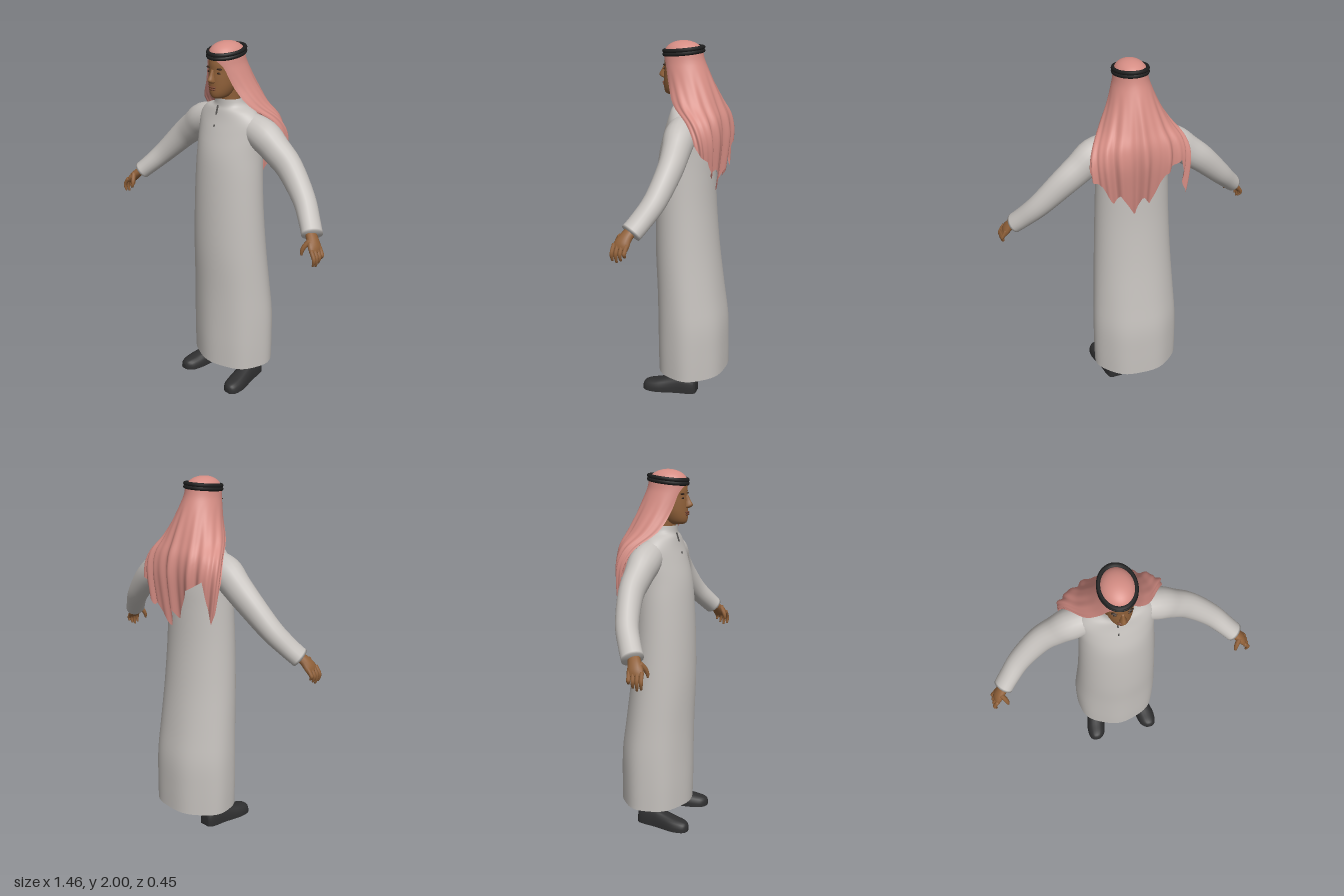
import * as THREE from 'three';

const mat = (name, color, side = THREE.FrontSide) => {
  const m = new THREE.MeshStandardMaterial({ color, side });
  m.name = name;
  return m;
};

// Catmull-Rom resampling of numeric rows, k steps per span
function smooth(rows, k = 4) {
  const out = [], n = rows.length - 1;
  for (let i = 0; i < n; i++) {
    const [p, a, b, q] = [rows[Math.max(i - 1, 0)], rows[i], rows[i + 1], rows[Math.min(i + 2, n)]];
    for (let s = 0; s < k; s++) {
      const t = s / k;
      out.push(a.map((v, c) => {
        const cubic = 3 * (v - b[c]) + q[c] - p[c];
        const square = 2 * p[c] - 5 * v + 4 * b[c] - q[c];
        return v + 0.5 * t * (b[c] - p[c] + t * (square + t * cubic));
      }));
    }
  }
  out.push(rows[n]);
  return out;
}

// Surface through rows of points; closed rings share their seam, caps close the ends
function skin(rows, closed = true, capped = closed) {
  const n = rows[0].length, pos = rows.flat(2), idx = [];
  for (let i = 0; i < rows.length - 1; i++) {
    for (let j = 0; j < (closed ? n : n - 1); j++) {
      const k = (j + 1) % n, a = i * n + j, b = i * n + k, c = a + n, d = b + n;
      idx.push(a, c, b, b, c, d);
    }
  }
  if (capped) [0, rows.length - 1].forEach((r, end) => {
    const mid = pos.length / 3, loop = rows[r];
    pos.push(...[0, 1, 2].map(c => loop.reduce((s, p) => s + p[c], 0) / n));
    for (let j = 0; j < n; j++) {
      const a = r * n + j, b = r * n + (j + 1) % n;
      idx.push(mid, ...(end ? [b, a] : [a, b]));
    }
  });
  const g = new THREE.BufferGeometry();
  g.setAttribute('position', new THREE.Float32BufferAttribute(pos, 3));
  g.setIndex(idx);
  g.computeVertexNormals();
  return g;
}

const ring = (n, fn) => Array.from({ length: n }, (_, j) => fn(j / n * Math.PI * 2));

// Upright body from rows of [y, half width, front z, back z]
const upright = (rows, n, capped, ripple = () => 1) => skin(smooth(rows).map(([y, w, f, b]) =>
  ring(n, t => {
    const r = ripple(t, y);
    return [w * Math.cos(t) * r, y, (f + b) / 2 + (f - b) / 2 * Math.sin(t) * r];
  })), true, capped);

// Limb from rows of [x, y, z, thickness radius, depth radius]
function limb(rows, n = 10, k = 4) {
  const pts = smooth(rows, k);
  return skin(pts.map(([x, y, z, rn, rb], i) => {
    const p = pts[Math.max(i - 1, 0)], q = pts[Math.min(i + 1, pts.length - 1)];
    const T = new THREE.Vector3(q[0] - p[0], q[1] - p[1], q[2] - p[2]).normalize();
    const N = T.clone().cross(new THREE.Vector3(0, 0, 1)).normalize();
    const B = N.clone().cross(T);
    return ring(n, t => new THREE.Vector3(x, y, z).addScaledVector(N, rn * Math.cos(t)).addScaledVector(B, rb * Math.sin(t)).toArray());
  }));
}

function mirror(geo) {
  const g = geo.clone().scale(-1, 1, 1), a = g.index.array;
  for (let i = 0; i < a.length; i += 3) [a[i], a[i + 1]] = [a[i + 1], a[i]];
  g.computeVertexNormals();
  return g;
}

const blob = (x, y, z, rx, ry, rz) => new THREE.SphereGeometry(1, 16, 10).scale(rx, ry, rz).translate(x, y, z);

// Linear lookup in a table sorted by falling first value
function lookup(table, v) {
  let i = 1;
  while (i < table.length - 1 && table[i][0] > v) i++;
  const a = table[i - 1], b = table[i];
  const t = THREE.MathUtils.clamp((v - a[0]) / (b[0] - a[0]), 0, 1);
  return a.map((x, c) => x + (b[c] - x) * t);
}

// Draped headcloth: open sheet wrapped round the back, ending in a ragged hem
function drape() {
  const shape = smooth([ // y, half width, centre z, depth, wrap angle
    [1.95, 0.085, 0.035, 0.104, 180], [1.915, 0.09, 0.034, 0.108, 163], [1.88, 0.098, 0.027, 0.113, 143],
    [1.78, 0.135, 0, 0.13, 132], [1.68, 0.19, -0.03, 0.142, 118], [1.6, 0.25, -0.09, 0.112, 106],
    [1.5, 0.278, -0.12, 0.09, 95], [1.35, 0.272, -0.128, 0.065, 88], [1.2, 0.25, -0.13, 0.04, 84]]);
  const hem = [[1, 1.5], [0.8, 1.44], [0.6, 1.41], [0.45, 1.3], [0.33, 1.35], [0.13, 1.2], [0.03, 1.33], [-0.08, 1.26],
    [-0.25, 1.44], [-0.5, 1.5], [-0.62, 1.38], [-0.78, 1.27], [-0.9, 1.33], [-1, 1.49]];
  const rows = [];
  for (let i = 0; i <= 36; i++) {
    rows.push(Array.from({ length: 97 }, (_, j) => {
      const u = 1 - j / 48, low = lookup(hem, u)[1];
      const y = 1.95 + (low - 1.95) * i / 36;
      const [, w, zc, d, A] = lookup(shape, y);
      const a = u * A * Math.PI / 180, f = THREE.MathUtils.clamp((1.86 - y) / 0.35, 0, 1);
      const fold = f * (0.011 * Math.cos(u * 24) + 0.007 * Math.sin(u * 41 + 1));
      return [(w + fold * 0.5) * Math.sin(a), y, zc - (d + fold) * Math.cos(a)];
    }));
  }
  return skin(rows, false);
}

export function createModel() {
  const model = new THREE.Group();
  model.name = 'robedMan';
  const robe = mat('robeGrey', 0xc6c2be, THREE.DoubleSide);
  const cloth = mat('clothPink', 0xd58d84, THREE.DoubleSide);
  const black = mat('bandBlack', 0x1e1e1e);
  const shoe = mat('shoeCharcoal', 0x2f2f30);
  const skinTone = mat('skinBrown', 0x8f6039);
  const lips = mat('lipBrown', 0x74432f);
  const hair = mat('hairDark', 0x35241a);
  const seam = mat('seamGrey', 0x5c5a58);

  const add = (name, geo, m) => {
    const mesh = new THREE.Mesh(geo, m);
    mesh.name = name;
    model.add(mesh);
    return mesh;
  };
  const pair = (name, geo, m) => {
    add('left' + name, geo, m);
    add('right' + name, mirror(geo), m);
  };

  // Robe
  add('robe', upright([
    [0.11, 0.248, 0.178, -0.222], [0.25, 0.25, 0.18, -0.222], [0.42, 0.248, 0.18, -0.218], [0.6, 0.238, 0.182, -0.195],
    [0.85, 0.224, 0.19, -0.165], [1.1, 0.212, 0.186, -0.145], [1.3, 0.204, 0.175, -0.14], [1.42, 0.2, 0.16, -0.14],
    [1.52, 0.204, 0.132, -0.13], [1.59, 0.2, 0.108, -0.105], [1.64, 0.155, 0.094, -0.08], [1.667, 0.092, 0.086, -0.06],
    [1.705, 0.076, 0.086, -0.05]], 56, false,
    (t, y) => 1 + 0.018 * Math.max(0, 0.9 - y) * Math.cos(7 * t + 1)), robe);
  pair('Sleeve', limb([[0.11, 1.565, -0.01, 0.075, 0.075], [0.22, 1.525, -0.015, 0.09, 0.084], [0.3, 1.465, -0.02, 0.084, 0.074],
    [0.395, 1.39, -0.02, 0.076, 0.066], [0.52, 1.265, 0.012, 0.062, 0.06], [0.6, 1.18, 0.06, 0.053, 0.058],
    [0.648, 1.13, 0.095, 0.05, 0.058]], 20), robe);
  add('placket', new THREE.BoxGeometry(0.007, 0.05, 0.006).rotateX(-0.3).translate(-0.013, 1.642, 0.097), seam);
  add('button', new THREE.BoxGeometry(0.007, 0.012, 0.006).rotateX(-0.35).translate(-0.013, 1.56, 0.12), seam);

  // Hands
  pair('Palm', limb([[0.63, 1.145, 0.092, 0.025, 0.03], [0.665, 1.115, 0.112, 0.024, 0.035],
    [0.69, 1.085, 0.125, 0.021, 0.043], [0.705, 1.06, 0.13, 0.013, 0.04]], 12), skinTone);
  for (let i = 0; i < 4; i++) {
    const z = 0.098 + i * 0.022, drop = [0.03, 0.012, 0, 0.008][i];
    pair('Finger' + (i + 1), limb([[0.696, 1.085, z, 0.011, 0.011], [0.718, 1.05, z + 0.003, 0.011, 0.011],
      [0.721, 1.025 + drop * 0.5, z + 0.004, 0.009, 0.01], [0.714, 0.995 + drop, z + 0.002, 0.005, 0.006]], 8, 3), skinTone);
  }
  pair('Thumb', limb([[0.668, 1.12, 0.14, 0.014, 0.014], [0.652, 1.09, 0.162, 0.013, 0.013],
    [0.646, 1.065, 0.172, 0.01, 0.01], [0.647, 1.045, 0.174, 0.005, 0.005]], 8, 3), skinTone);

  // Head and face
  add('neck', upright([[1.62, 0.06, 0.07, -0.04], [1.7, 0.056, 0.075, -0.04], [1.78, 0.056, 0.09, -0.04]], 20, true), skinTone);
  add('head', upright([[1.712, 0.022, 0.122, 0.05], [1.722, 0.04, 0.139, 0.02], [1.745, 0.055, 0.146, 0], [1.78, 0.067, 0.146, -0.02],
    [1.82, 0.073, 0.145, -0.04], [1.86, 0.076, 0.142, -0.05], [1.9, 0.076, 0.142, -0.05], [1.94, 0.07, 0.128, -0.045],
    [1.97, 0.04, 0.09, -0.01]], 32, true), skinTone);
  add('nose', upright([[1.797, 0.008, 0.15, 0.125], [1.804, 0.019, 0.165, 0.12], [1.817, 0.017, 0.175, 0.12],
    [1.84, 0.011, 0.162, 0.12], [1.868, 0.009, 0.148, 0.12]], 14, true), skinTone);
  add('upperLip', blob(0, 1.776, 0.143, 0.026, 0.006, 0.011), lips);
  add('lowerLip', blob(0, 1.765, 0.143, 0.022, 0.006, 0.011), lips);
  pair('Brow', blob(0.034, 1.874, 0.129, 0.021, 0.005, 0.009), hair);
  pair('Eye', blob(0.033, 1.852, 0.131, 0.013, 0.005, 0.006), hair);

  // Headcloth and its double cord
  add('headclothCrown', new THREE.SphereGeometry(1, 36, 12, 0, Math.PI * 2, 0, Math.PI / 2).scale(0.086, 0.065, 0.105).translate(0, 1.935, 0.035), cloth);
  add('headclothDrape', drape(), cloth);
  for (const y of [1.937, 1.955]) {
    const cord = add('headCord', new THREE.TorusGeometry(0.09, 0.011, 8, 48).rotateX(Math.PI / 2).scale(0.96, 1, 1.16), black);
    cord.position.set(0, y, 0.036);
    cord.rotation.x = 0.11;
  }

  // Ankles and shoes
  pair('Ankle', limb([[0.135, 0.06, -0.03, 0.04, 0.045], [0.133, 0.15, -0.03, 0.038, 0.042], [0.128, 0.36, -0.02, 0.055, 0.058]], 14), skinTone);
  const shoeRows = smooth([ // z, centre x, half width, height
    [-0.085, 0.137, 0.03, 0.07], [-0.07, 0.138, 0.044, 0.092], [-0.03, 0.142, 0.05, 0.1], [0.02, 0.148, 0.051, 0.1],
    [0.08, 0.158, 0.055, 0.082], [0.14, 0.168, 0.058, 0.066], [0.19, 0.174, 0.05, 0.056], [0.215, 0.178, 0.034, 0.046],
    [0.226, 0.179, 0.015, 0.03]]);
  pair('Shoe', skin(shoeRows.map(([z, x, w, h]) => ring(24, t => {
    const up = Math.max(0, -Math.sin(t)), c = Math.cos(t);
    return [x + w * Math.sign(c) * Math.abs(c) ** 0.8, h * up ** 0.8, z];
  }))), shoe);

  return model;
}
